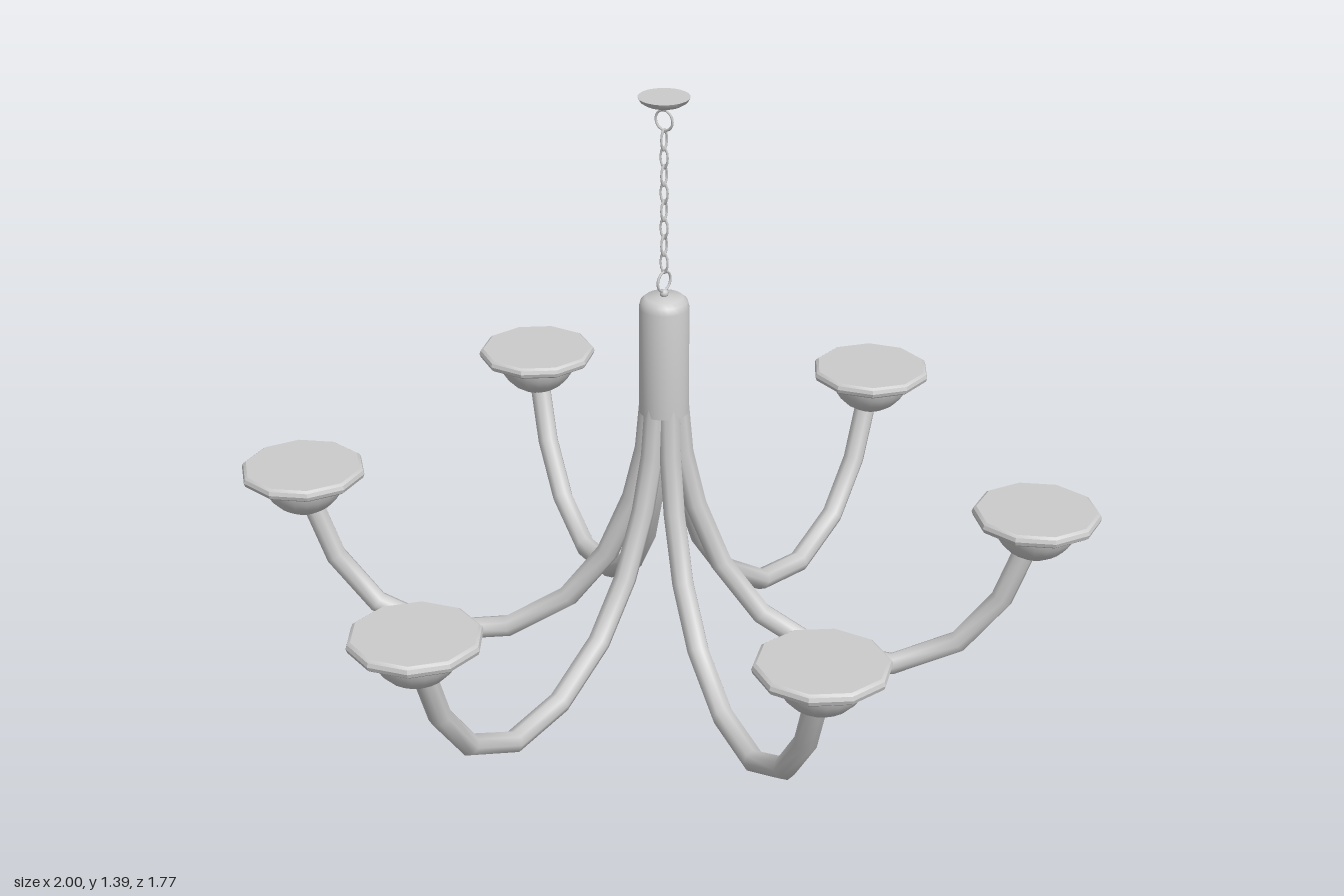
import * as THREE from 'three';
import { toCreasedNormals } from 'three/addons/utils/BufferGeometryUtils.js';

const material = new THREE.MeshStandardMaterial({ color: 0xcccccc, side: THREE.DoubleSide });

function part(name, geometry, parent) {
  const mesh = new THREE.Mesh(geometry, material);
  mesh.name = name;
  parent.add(mesh);
  return mesh;
}

// Turned part from [radius, height] pairs, listed bottom to top
function turned(profile, sides, crease = 0.7) {
  const points = profile.map(([r, y]) => new THREE.Vector2(r, y));
  return toCreasedNormals(new THREE.LatheGeometry(points, sides, Math.PI / 2), crease);
}

// Arm centre line in its own radial plane, with a slight sideways sway
function armGeometry() {
  const path = [
    [0.031, 0.67, 0], [0.042, 0.55, 0.002], [0.073, 0.42, 0.005], [0.135, 0.27, 0.009],
    [0.23, 0.145, 0.011], [0.375, 0.053, 0.011], [0.54, 0.031, 0.008],
    [0.69, 0.1, 0.004], [0.785, 0.22, 0.001], [0.84, 0.37, 0],
  ].map(p => new THREE.Vector3(...p));
  const curve = new THREE.CatmullRomCurve3(path);
  curve.getUtoTmapping = u => u; // rings fall exactly on the path points
  return new THREE.TubeGeometry(curve, path.length - 1, 0.026, 8);
}

export function createModel() {
  const model = new THREE.Group();
  model.name = 'chandelier';

  // Central hub with rounded shoulder
  part('hub', turned([
    [0, 0.65], [0.057, 0.65], [0.057, 0.905], [0.053, 0.921], [0.043, 0.93], [0, 0.933],
  ], 24), model);
  part('hubKnob', new THREE.SphereGeometry(0.01, 10, 8), model).position.y = 0.938;

  // Six arms, each carrying a bowl and a wide ten-sided pan
  const armShape = armGeometry();
  const bowlProfile = [];
  for (let i = 0; i <= 7; i++) {
    const a = (i / 7) * Math.PI / 2;
    bowlProfile.push([0.1 * Math.sin(a), 0.435 - 0.1 * Math.cos(a)]);
  }
  const bowlShape = turned(bowlProfile, 20);
  const panShape = turned([
    [0, 0.426], [0.137, 0.426], [0.144, 0.431], [0.147, 0.44],
    [0.144, 0.449], [0.137, 0.454], [0, 0.454],
  ], 10, 0.5);
  for (let i = 0; i < 6; i++) {
    const arm = new THREE.Group();
    arm.name = 'arm' + (i + 1);
    arm.rotation.y = i * Math.PI / 3;
    part('armTube', armShape, arm);
    part('bowl', bowlShape, arm).position.x = 0.853;
    part('pan', panShape, arm).position.x = 0.853;
    model.add(arm);
  }

  // Chain: a round ring at each end, narrow links alternating between
  const chain = new THREE.Group();
  chain.name = 'chain';
  model.add(chain);
  const ring = new THREE.TorusGeometry(0.023, 0.003, 6, 20);
  part('lowerRing', ring, chain).position.y = 0.967;
  const upperRing = part('upperRing', ring, chain);
  upperRing.position.y = 1.346;
  upperRing.rotation.y = Math.PI / 2;
  const link = new THREE.TorusGeometry(0.01, 0.0026, 6, 12);
  link.scale(1, 2.2, 1);
  const count = 8;
  for (let i = 0; i < count; i++) {
    const mesh = part('link', link, chain);
    mesh.position.y = 1.012 + i * (1.301 - 1.012) / (count - 1);
    mesh.rotation.y = i % 2 ? 0 : Math.PI / 2;
  }

  // Ceiling canopy
  part('canopy', turned([
    [0, 1.378], [0.025, 1.379], [0.042, 1.384], [0.053, 1.391], [0.058, 1.4], [0, 1.4],
  ], 24), model);
  part('canopyKnob', new THREE.SphereGeometry(0.009, 10, 8), model).position.y = 1.375;

  return model;
}
